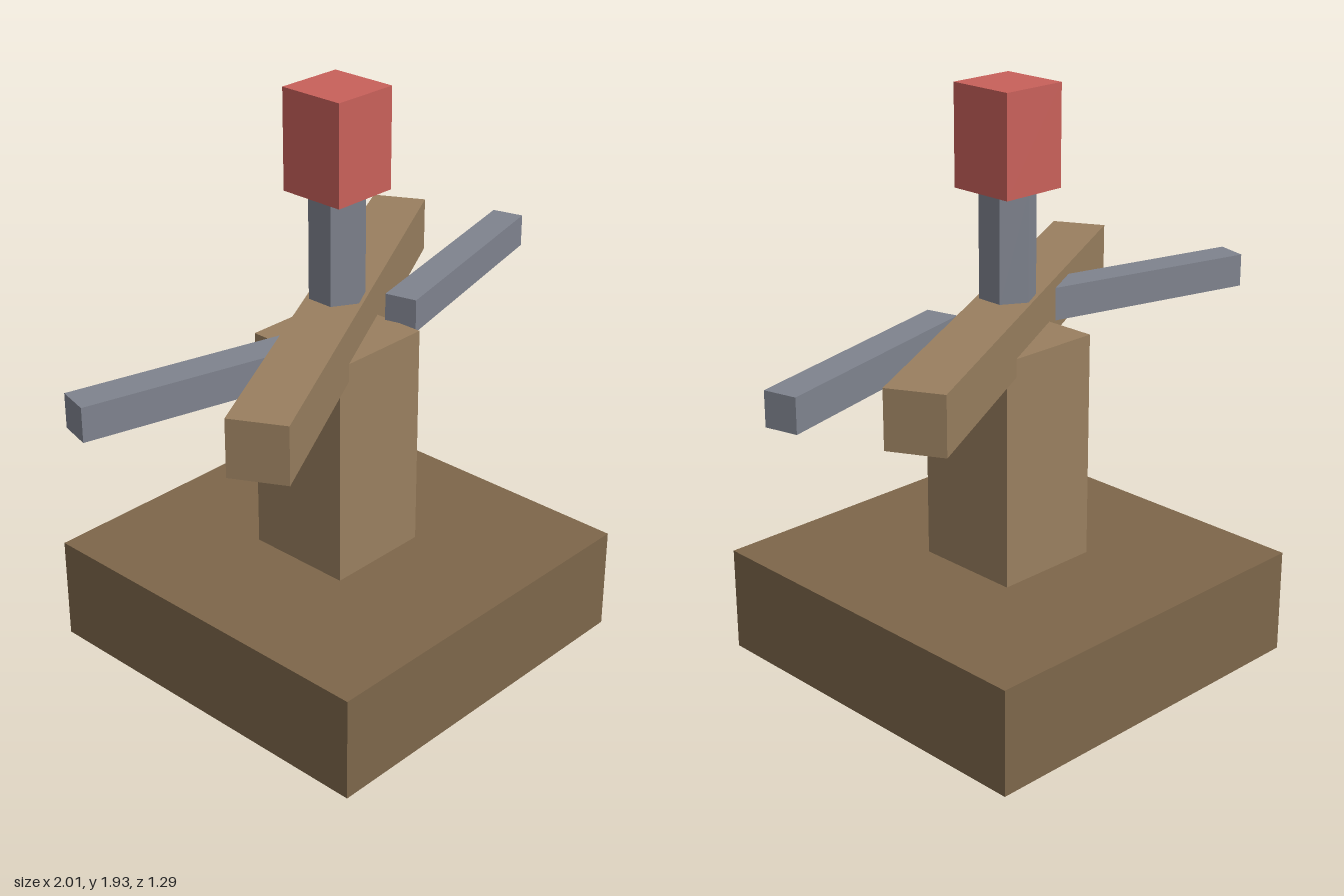
import * as THREE from 'three';

export function createModel() {
  const model = new THREE.Group();
  const paint = (color) => new THREE.MeshStandardMaterial({ color, flatShading: true });
  const darkWood = paint(0x7d664a);
  const wood = paint(0x997f5f);
  const steel = paint(0x7f838e);
  const red = paint(0xc8605a);

  // Adds a geometry spanning bottom..top, turned about the vertical axis
  function add(name, geometry, material, bottom, top, x = 0, turn = 0) {
    const mesh = new THREE.Mesh(geometry, material);
    mesh.name = name;
    mesh.position.set(x, (bottom + top) / 2, 0);
    mesh.rotation.y = turn;
    model.add(mesh);
  }
  function addBox(name, width, depth, material, bottom, top, x, turn) {
    add(name, new THREE.BoxGeometry(width, top - bottom, depth), material, bottom, top, x, turn);
  }

  // Base block and square post
  addBox('base', 1.29, 1.29, darkWood, 0, 0.355);
  addBox('post', 0.37, 0.37, wood, 0.355, 1.12);

  // Long crossbeam, turned across the post
  addBox('crossbeam', 1.76, 0.186, wood, 1.06, 1.248, 0, 0.5);

  // Mirrored pair of steel arms, swept back
  for (const [name, side] of [['leftArm', 1], ['rightArm', -1]]) {
    addBox(name, 0.83, 0.11, steel, 1.1, 1.212, side * 0.588, side * 0.25);
  }

  // Six-sided spindle with a red block on top
  add('spindle', new THREE.CylinderGeometry(0.093, 0.093, 0.36, 6), steel, 1.242, 1.602);
  addBox('headBlock', 0.232, 0.232, red, 1.6, 1.93);

  return model;
}
